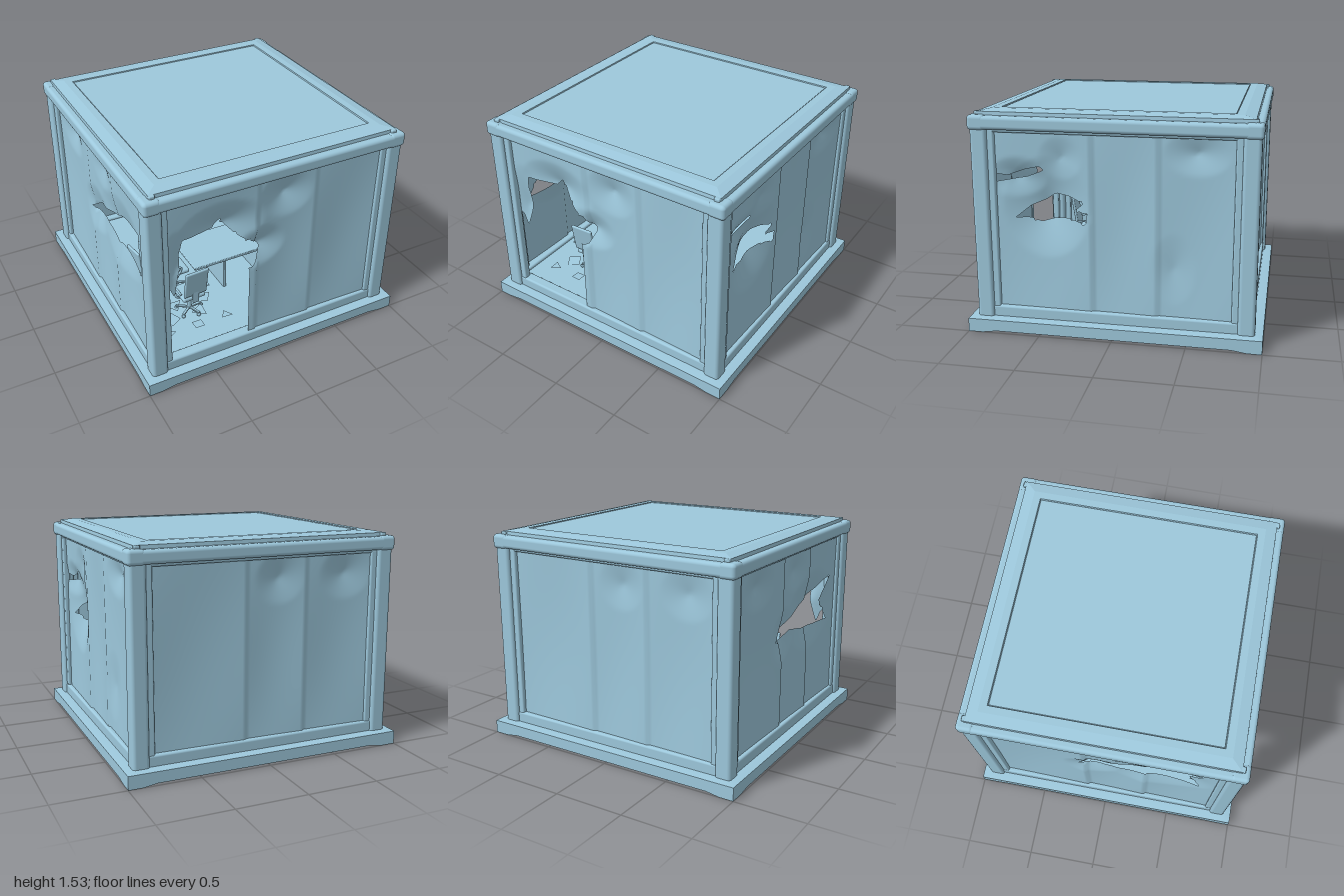
import * as THREE from 'three';
import { RoundedBoxGeometry } from 'three/addons/geometries/RoundedBoxGeometry.js';

const paint = new THREE.MeshStandardMaterial({ color: 0x9dc8dc, side: THREE.DoubleSide });
paint.name = 'pale blue';

function add(parent, name, geometry, x = 0, y = 0, z = 0) {
  const mesh = new THREE.Mesh(geometry, paint);
  mesh.name = name;
  mesh.position.set(x, y, z);
  parent.add(mesh);
  return mesh;
}
const block = (w, h, d, r = 0.015) => new RoundedBoxGeometry(w, h, d, 3, r);

// Closest point on a polygon outline, used to give holes clean torn edges
function nearestOnOutline(p, poly) {
  let best = null, bestD = Infinity;
  poly.forEach((a, i) => {
    const b = poly[(i + 1) % poly.length];
    const dx = b[0] - a[0], dy = b[1] - a[1];
    const t = Math.min(1, Math.max(0, ((p[0] - a[0]) * dx + (p[1] - a[1]) * dy) / (dx * dx + dy * dy)));
    const q = [a[0] + t * dx, a[1] + t * dy];
    const d = Math.hypot(q[0] - p[0], q[1] - p[1]);
    if (d < bestD) { bestD = d; best = q; }
  });
  return { point: best, distance: bestD };
}
function inside(x, y, poly) {
  let hit = false;
  for (let i = 0, j = poly.length - 1; i < poly.length; j = i++) {
    const [ax, ay] = poly[i], [bx, by] = poly[j];
    if ((ay > y) !== (by > y) && x < ((bx - ax) * (y - ay)) / (by - ay) + ax) hit = !hit;
  }
  return hit;
}

// Wall cladding: a grid in three dished panels that step at the seams, dented, with holes cut out
const seams = [-0.83, -0.15, 0.3, 0.83];
const bottom = 0.13, top = 1.4;
function cladding(holes, dents) {
  const cell = 0.02;
  const geo = new THREE.PlaneGeometry(1.66, top - bottom, 83, 63);
  geo.translate(0, (top + bottom) / 2, 0);
  const pos = geo.attributes.position;
  for (let i = 0; i < pos.count; i++) {
    let p = [pos.getX(i), pos.getY(i)];
    for (const hole of holes) {
      const near = nearestOnOutline(p, hole);
      if (near.distance < cell * 0.55) p = near.point;
    }
    const k = p[0] < seams[1] ? 0 : p[0] < seams[2] ? 1 : 2;
    const s = (p[0] - seams[k]) / (seams[k + 1] - seams[k]), t = (p[1] - bottom) / (top - bottom);
    let z = -0.014 * (1 - s) - 0.02 * Math.sin(Math.PI * s) * Math.sin(Math.PI * t);
    for (const [u, v, ru, rv, depth] of dents) {
      const d = Math.hypot((p[0] - u) / ru, (p[1] - v) / rv);
      if (d < 1) z -= depth * Math.pow(1 - d, 1.3);
    }
    pos.setXYZ(i, p[0], p[1], z);
  }
  const idx = geo.index.array, kept = [];
  for (let i = 0; i < idx.length; i += 3) {
    const tri = [idx[i], idx[i + 1], idx[i + 2]];
    const cx = tri.reduce((sum, k) => sum + pos.getX(k), 0) / 3;
    const cy = tri.reduce((sum, k) => sum + pos.getY(k), 0) / 3;
    if (!holes.some((h) => inside(cx, cy, h))) kept.push(...tri);
  }
  geo.setIndex(kept);
  geo.computeVertexNormals();
  return geo;
}

// A wall facing +z before it is turned: cladding and the frame around it
function wall(name, angle, holes, dents) {
  const g = new THREE.Group();
  g.name = name;
  g.rotation.y = angle;
  add(g, 'cladding', cladding(holes, dents), 0, 0, 0.912);
  for (const s of [-1, 1]) add(g, 'sideLip', block(0.06, 1.3, 0.05, 0.012), s * 0.82, 0.75, 0.9);
  add(g, 'sill', block(1.72, 0.09, 0.08), 0, 0.13, 0.89);
  add(g, 'header', block(1.72, 0.04, 0.06), 0, 1.4, 0.895);
  add(g, 'topBeam', block(1.9, 0.09, 0.08, 0.025), 0, 1.445, 0.92);
  return g;
}

// Office chair with its back towards +z, standing on y = 0
function chair(name, x, y, z, angle, h = 1) {
  const g = new THREE.Group();
  g.name = name;
  g.position.set(x, y, z);
  g.rotation.y = angle;
  g.scale.setScalar(h);
  add(g, 'seat', block(0.18, 0.035, 0.18), 0, 0.18, 0);
  add(g, 'backrest', block(0.18, 0.23, 0.022, 0.01), 0, 0.33, 0.11).rotation.x = 0.16;
  add(g, 'backBracket', block(0.05, 0.12, 0.015, 0.006), 0, 0.21, 0.1);
  add(g, 'stem', new THREE.CylinderGeometry(0.014, 0.018, 0.14, 10), 0, 0.1, 0);
  for (const s of [-1, 1]) {
    const path = new THREE.CatmullRomCurve3([[0.08, 0.17, 0.02], [0.115, 0.19, 0.02], [0.115, 0.25, -0.01], [0.115, 0.265, 0.03], [0.11, 0.25, 0.09]]
      .map(([a, b, c]) => new THREE.Vector3(a * s, b, c)));
    add(g, 'armrest', new THREE.TubeGeometry(path, 16, 0.009, 6));
  }
  for (let i = 0; i < 5; i++) {
    const a = (i / 5) * Math.PI * 2;
    const leg = add(g, 'footSpoke', block(0.1, 0.014, 0.02, 0.005), Math.cos(a) * 0.05, 0.035, -Math.sin(a) * 0.05);
    leg.rotation.y = a;
    add(g, 'castor', new THREE.SphereGeometry(0.015, 8, 6), Math.cos(a) * 0.095, 0.016, -Math.sin(a) * 0.095);
  }
  return g;
}

// Square tray of bevelled rings, each given as [half width, height]
function squareRings(profile) {
  const points = profile.map(([r, y]) => new THREE.Vector2(r * Math.SQRT2, y));
  const geo = new THREE.LatheGeometry(points, 4, Math.PI / 4).toNonIndexed();
  geo.computeVertexNormals();
  return geo;
}

export function createModel() {
  const model = new THREE.Group();
  model.name = 'damagedCabin';

  // Base slab whose corners sag a little
  const baseGeo = new THREE.BoxGeometry(2, 0.085, 2, 40, 1, 40);
  const basePos = baseGeo.attributes.position;
  for (let i = 0; i < basePos.count; i++) {
    const corner = Math.min(Math.abs(basePos.getX(i)), Math.abs(basePos.getZ(i)));
    if (basePos.getY(i) < 0) basePos.setY(i, -0.0425 - 0.015 * THREE.MathUtils.smoothstep(corner, 0.8, 0.9));
    else if (Math.max(Math.abs(basePos.getX(i)), Math.abs(basePos.getZ(i))) > 0.99) basePos.setY(i, 0.036);
  }
  baseGeo.computeVertexNormals();
  add(model, 'base', baseGeo, 0, 0.0575, 0);
  add(model, 'floor', block(1.72, 0.06, 1.72, 0.005), 0, 0.125, 0);
  for (const x of [-1, 1]) for (const z of [-1, 1]) {
    add(model, 'cornerPost', block(0.115, 1.36, 0.115, 0.025), x * 0.89, 0.76, z * 0.89);
    add(model, 'topCorner', block(0.12, 0.1, 0.12, 0.025), x * 0.9, 1.445, z * 0.9);
    add(model, 'roofCornerClip', block(0.04, 0.025, 0.03, 0.008), x * 0.885, 1.503, z * 0.91);
  }

  // Roof: nearly flat border around a slightly sunken panel
  add(model, 'roofBorder', squareRings([[0.91, 1.47], [0.905, 1.514], [0.83, 1.528], [0.778, 1.528], [0.772, 1.51]]));
  add(model, 'roofDeck', block(1.8, 0.06, 1.8, 0.01), 0, 1.465, 0);
  add(model, 'roofPanel', block(1.545, 0.03, 1.545, 0.004), 0, 1.508, 0);

  // Walls, with torn openings and dents as [u, v, widthRadius, heightRadius, depth]
  const doorway = [[-0.84, 0.05], [-0.84, 0.8], [-0.78, 0.76], [-0.74, 0.66], [-0.69, 0.85], [-0.7, 1.0], [-0.68, 1.1], [-0.45, 1.1],
    [-0.4, 1.15], [-0.3, 1.03], [-0.15, 0.91], [-0.1, 0.86], [-0.15, 0.75], [-0.2, 0.73], [-0.2, 0.05]];
  model.add(wall('frontWall', 0, [doorway], [[-0.4, 1.12, 0.32, 0.2, 0.07], [-0.72, 0.85, 0.15, 0.35, 0.05],
    [-0.12, 0.88, 0.2, 0.16, 0.06], [0.07, 1.24, 0.2, 0.18, 0.05]]));

  const gash = [[-0.67, 0.8], [-0.57, 0.88], [-0.47, 0.92], [-0.4, 0.97], [-0.3, 0.96], [-0.2, 0.92], [-0.26, 0.87], [-0.18, 0.85],
    [-0.18, 0.78], [-0.3, 0.81], [-0.4, 0.8], [-0.5, 0.77], [-0.58, 0.8]];
  const slit = [[-0.8, 1.1], [-0.72, 1.085], [-0.6, 1.13], [-0.5, 1.155], [-0.47, 1.13], [-0.6, 1.075], [-0.7, 1.06], [-0.8, 1.045]];
  model.add(wall('leftWall', Math.PI / 2, [gash, slit], [[-0.45, 0.88, 0.3, 0.35, 0.09], [-0.65, 1.08, 0.2, 0.14, 0.05],
    [-0.35, 1.22, 0.15, 0.15, 0.03], [0.55, 1.28, 0.22, 0.15, 0.04], [0.4, 0.5, 0.15, 0.25, 0.02]]));

  model.add(wall('backWall', Math.PI, [], [[0.1, 1.25, 0.18, 0.18, 0.03], [0.6, 1.25, 0.2, 0.18, 0.03]]));

  const rip = [[-0.2, 0.8], [-0.08, 0.79], [0.05, 0.83], [0.3, 0.78], [0.5, 0.76], [0.69, 0.76], [0.6, 0.92], [0.7, 1.1],
    [0.62, 1.08], [0.5, 1.03], [0.3, 1.0], [0.1, 0.93], [-0.1, 0.87]];
  model.add(wall('rightWall', -Math.PI / 2, [rip], [[0.38, 0.9, 0.4, 0.3, 0.07], [-0.1, 0.83, 0.2, 0.2, 0.05],
    [-0.5, 1.25, 0.22, 0.16, 0.04], [0.08, 1.25, 0.18, 0.15, 0.03]]));

  // Furniture inside
  model.add(chair('nearChair', -0.46, 0.155, 0.5, 0.05));
  model.add(chair('sideChair', -0.61, 0.155, 0.1, -Math.PI / 2 + 0.15, 0.88));
  model.add(chair('deskChair', -0.44, 0.155, 0.2, -Math.PI / 2));
  const desk = new THREE.Group();
  desk.name = 'desk';
  model.add(desk);
  add(desk, 'deskTop', block(0.6, 0.022, 0.4, 0.006), -0.06, 0.42, 0.2);
  for (const x of [-0.1, 0.22]) add(desk, 'deskLeg', block(0.025, 0.27, 0.36, 0.006), x, 0.285, 0.2);

  // Torn scraps on the floor
  for (let i = 0; i < 7; i++) {
    const scrap = add(model, 'floorScrap', new THREE.CircleGeometry(0.05 + 0.015 * (i % 3), 3 + (i % 2)),
      -0.7 + 0.075 * i, 0.172, 0.68 - 0.13 * (i % 3));
    scrap.rotation.set(-Math.PI / 2 + 0.15 * Math.sin(i * 2), 0, i * 1.3);
  }
  return model;
}
